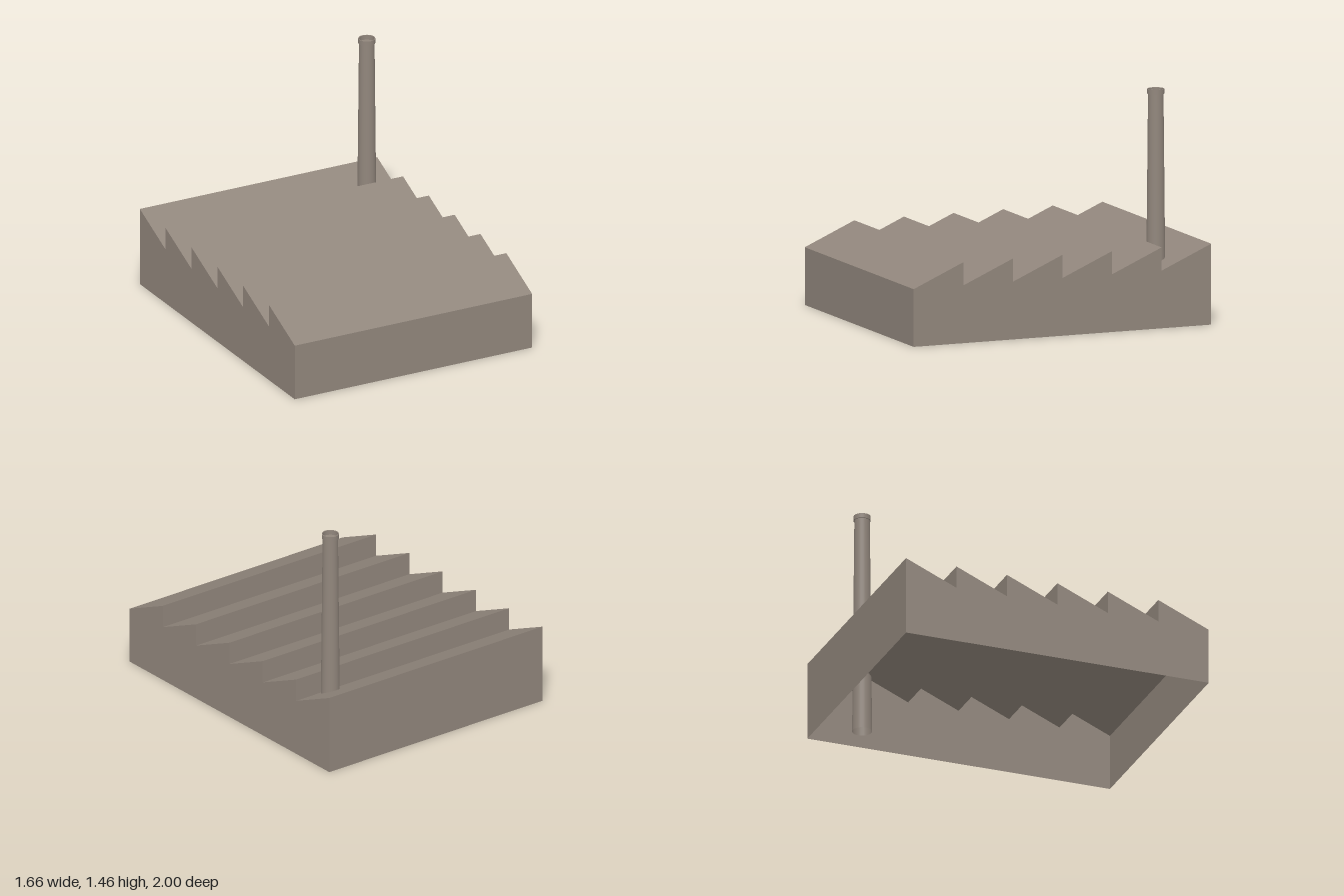
import * as THREE from 'three';

const WIDTH = 1.66, EAVE = 0.36, RIDGE = 0.505, TEETH = 6, PITCH = 2 / TEETH;

export function createModel() {
  const model = new THREE.Group();
  model.name = 'factory';
  // the hall is an open-bottomed shell, so both sides show
  const stone = new THREE.MeshStandardMaterial({ color: 0x91867c, side: THREE.DoubleSide });
  stone.name = 'warm grey';

  const add = (name, geometry, parent = model) => {
    const mesh = new THREE.Mesh(geometry, stone);
    mesh.name = name;
    parent.add(mesh);
    return mesh;
  };

  // flat panel across the hall between two [z, y] profile points
  const panel = (name, [z0, y0], [z1, y1]) => {
    const mesh = add(name, new THREE.PlaneGeometry(WIDTH, Math.hypot(z1 - z0, y1 - y0)));
    mesh.position.set(0, (y0 + y1) / 2, (z0 + z1) / 2);
    mesh.rotation.x = Math.atan2(z1 - z0, y1 - y0);
  };

  // sawtooth profile from the front foot to the back foot
  const profile = [[1, 0]];
  for (let i = 0; i < TEETH; i++) {
    profile.push([1 - i * PITCH, EAVE], [1 - (i + 1) * PITCH, RIDGE]);
  }
  profile.push([-1, 0]);

  // front wall, roof slopes, upright roof faces and back wall
  const last = profile.length - 2;
  for (let i = 0; i <= last; i++) {
    const name = i === 0 ? 'frontWall' : i === last ? 'backWall' : i % 2 ? 'roofSlope' : 'roofUpright';
    panel(name, profile[i], profile[i + 1]);
  }

  // sawtooth gable walls
  for (const side of [1, -1]) {
    const shape = new THREE.Shape(profile.map(([z, y]) => new THREE.Vector2(-side * z, y)));
    const wall = add(side > 0 ? 'leftWall' : 'rightWall', new THREE.ShapeGeometry(shape));
    wall.rotation.y = side * Math.PI / 2;
    wall.position.x = side * WIDTH / 2;
  }

  // tapered chimney standing on the ground and passing through the roof
  const chimney = new THREE.Group();
  chimney.name = 'chimney';
  chimney.position.set(0.608, 0, -0.725);
  model.add(chimney);
  const ring = points => new THREE.LatheGeometry(points.map(p => new THREE.Vector2(...p)), 24);
  add('shaft', ring([[0.062, 0], [0.048, 1.427]]), chimney);
  const plug = add('flueFloor', new THREE.CircleGeometry(0.048, 24), chimney);
  plug.rotation.x = -Math.PI / 2;
  plug.position.y = 1.427;

  // hollow collar, with separate faces to keep its edges sharp
  add('collarUnderside', ring([[0.047, 1.427], [0.053, 1.427]]), chimney);
  add('collarOutside', ring([[0.053, 1.427], [0.053, 1.457]]), chimney);
  add('collarRim', ring([[0.053, 1.457], [0.047, 1.457]]), chimney);
  add('collarInside', ring([[0.047, 1.457], [0.047, 1.427]]), chimney);

  return model;
}
